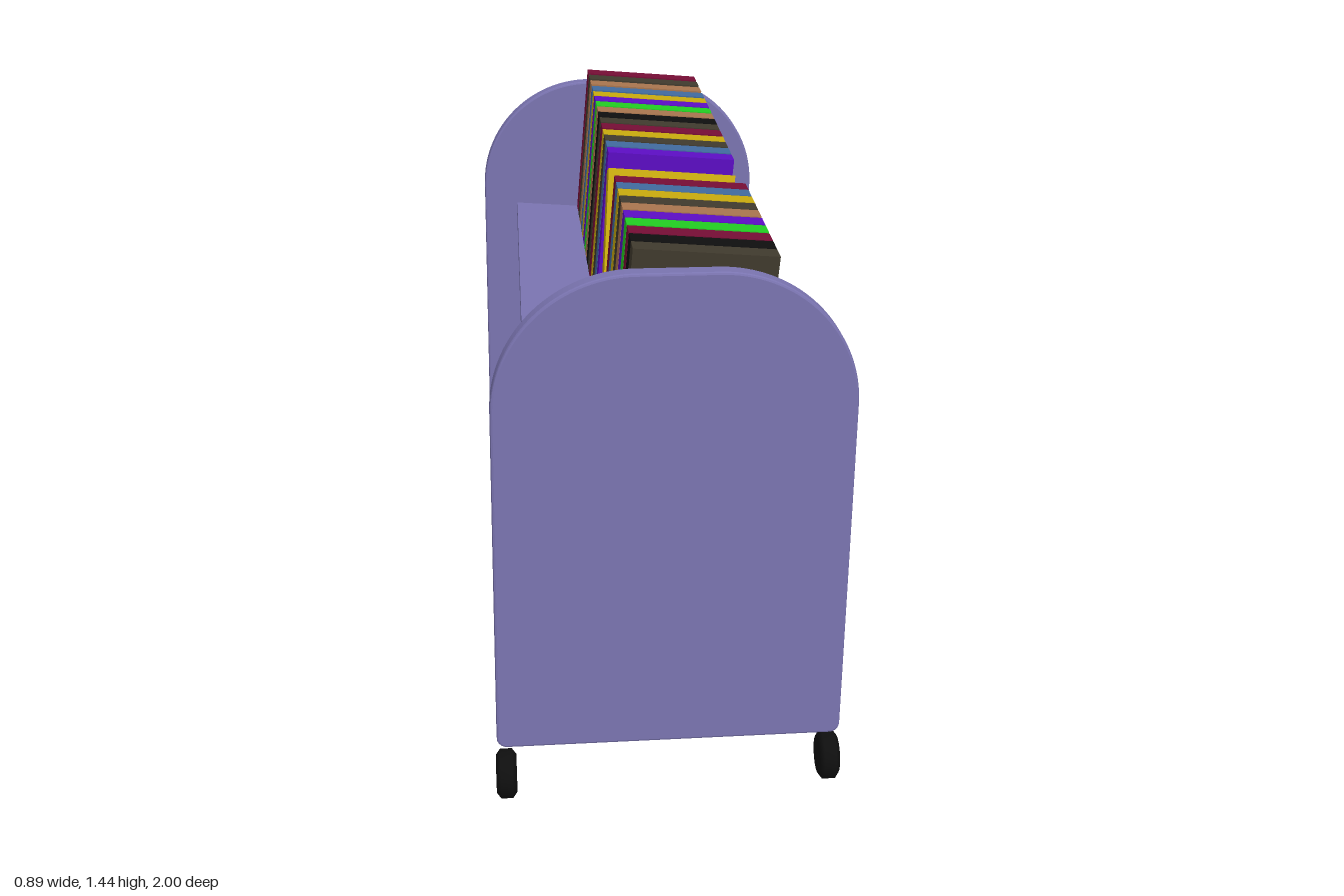
import * as THREE from 'three';

const colours = {
  frame: 0x7a74b0, black: 0x0f0f0f, taupe: 0x403a2d, maroon: 0x760d35, green: 0x22cc22,
  purple: 0x5c0dc4, tan: 0xa8754e, yellow: 0xc8aa0e, blue: 0x416a9e,
};
const BOOK = { width: 0.345, height: 0.457, thick: 0.055 };
const TILT = -0.087; // shelves and books slope down towards +x

export function createModel() {
  const mats = {};
  for (const [name, hex] of Object.entries(colours)) {
    mats[name] = new THREE.MeshStandardMaterial({ color: hex });
    mats[name].name = name;
  }
  const model = new THREE.Group();
  model.name = 'bookCart';

  function add(parent, geometry, colour, name) {
    const mesh = new THREE.Mesh(geometry, mats[colour]);
    mesh.name = name;
    parent.add(mesh);
    return mesh;
  }

  // End panels: arched boards with slightly eased edges
  const w = 0.432, h = 0.62, R = 0.335, r = 0.02;
  const arch = new THREE.Shape();
  arch.moveTo(-w + r, -h);
  arch.lineTo(w - r, -h);
  arch.absarc(w - r, -h + r, r, -Math.PI / 2, 0, false);
  arch.absarc(w - R, h - R, R, 0, Math.PI / 2, false);
  arch.absarc(-w + R, h - R, R, Math.PI / 2, Math.PI, false);
  arch.absarc(-w + r, -h + r, r, Math.PI, Math.PI * 1.5, false);
  const panelGeo = new THREE.ExtrudeGeometry(arch, {
    depth: 0.036, bevelThickness: 0.006, bevelSize: 0.006, bevelSegments: 2, curveSegments: 20,
  });
  panelGeo.translate(0, 0, -0.018);
  for (const [name, z] of [['frontPanel', 0.902], ['backPanel', -0.965]]) {
    const panel = add(model, panelGeo, 'frame', name);
    panel.position.set(0.003, 0.77, z);
    panel.rotation.set(-0.01, 0.017, -0.012);
  }

  // Casters: chamfered wheels turning about x
  const wheelProfile = [[0, -0.026], [0.048, -0.026], [0.063, -0.015], [0.063, 0.015], [0.048, 0.026], [0, 0.026]];
  const wheelGeo = new THREE.LatheGeometry(wheelProfile.map(([x, y]) => new THREE.Vector2(x, y)), 16);
  wheelGeo.rotateZ(Math.PI / 2);
  for (const [end, z, y] of [['front', 0.93, 0.073], ['back', -0.932, 0.063]]) {
    for (const [side, x] of [['Right', -0.42], ['Left', 0.405]]) {
      add(model, wheelGeo, 'black', end + side + 'Caster').position.set(x, y, z - 0.02 * x);
    }
  }

  // Sloping shelf with an outward leaning lip; its origin is the foot of the lip
  function makeShelf(name, x, y) {
    const shelf = new THREE.Group();
    shelf.name = name;
    shelf.position.set(x, y, 0);
    shelf.rotation.z = TILT;
    const boards = new THREE.Group();
    boards.name = name + 'Boards';
    boards.position.z = -0.03;
    boards.rotation.y = -0.0117;
    const base = add(boards, new THREE.BoxGeometry(0.615, 0.02, 1.84), 'frame', name + 'Base');
    base.position.set(-0.2425, -0.01, 0);
    const lipGeo = new THREE.BoxGeometry(0.018, 0.19, 1.84);
    lipGeo.translate(0.009, 0.093, 0);
    add(boards, lipGeo, 'frame', name + 'Lip').rotation.z = -0.33;
    shelf.add(boards);
    model.add(shelf);
    return shelf;
  }
  const upper = makeShelf('upperShelf', 0.21, 0.955);
  const lower = makeShelf('lowerShelf', 0.204, 0.378);

  // Standing books, pivoting at the bottom against the lip
  const bookGeo = new THREE.BoxGeometry(BOOK.width, BOOK.height, BOOK.thick);
  bookGeo.translate(-BOOK.width / 2, BOOK.height / 2, 0);
  function standBook(shelf, colour, z, lean = 0) {
    const book = add(shelf, bookGeo, colour, colour + 'Book');
    book.position.set(0.003, 0.001, z);
    book.rotation.x = lean;
  }
  const row = [
    ['taupe', 0.84], ['black', 0.78], ['maroon', 0.72], ['green', 0.658], ['purple', 0.598],
    ['tan', 0.535], ['taupe', 0.476], ['yellow', 0.417], ['blue', 0.358], ['maroon', 0.3],
    ['purple', 0.022], ['blue', -0.043], ['taupe', -0.107], ['yellow', -0.166], ['maroon', -0.235],
    ['taupe', -0.3], ['black', -0.364], ['tan', -0.428], ['green', -0.492], ['purple', -0.556],
    ['yellow', -0.615], ['blue', -0.685], ['tan', -0.759], ['taupe', -0.834], ['maroon', -0.906],
  ];
  for (const [colour, z] of row) standBook(upper, colour, z);
  standBook(upper, 'yellow', 0.262, -0.43);
  standBook(lower, 'taupe', 0.775, 0.14);
  standBook(lower, 'black', 0.72, 0.157);
  standBook(lower, 'tan', 0.55, 0.43);

  // Stack of books lying flat
  const flatGeo = new THREE.BoxGeometry(BOOK.height, BOOK.thick, BOOK.width);
  const stack = [
    ['maroon', -0.235, 0.36, 0], ['purple', -0.235, 0.35, 0.06],
    ['yellow', -0.235, 0.32, -0.3], ['green', -0.235, 0.28, 0.93],
  ];
  stack.forEach(([colour, x, z, yaw], i) => {
    const book = add(lower, flatGeo, colour, colour + 'StackedBook');
    book.position.set(x, 0.001 + BOOK.thick * (i + 0.5), z);
    book.rotation.y = yaw;
  });

  return model;
}
